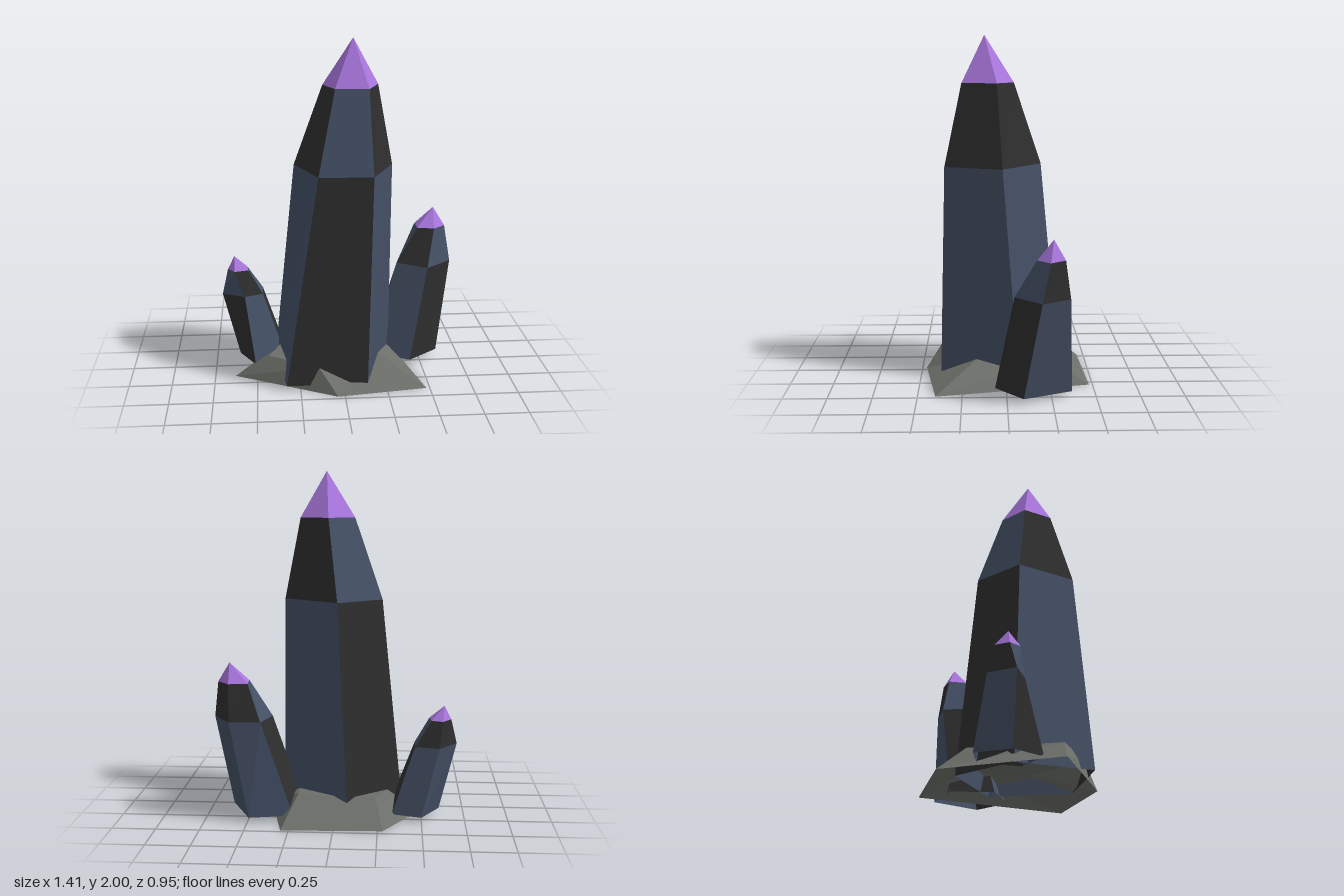
import * as THREE from 'three';

function material(name, color) {
  const m = new THREE.MeshStandardMaterial({ color, flatShading: true, side: THREE.DoubleSide });
  m.name = name;
  return m;
}

// Ring of [x, z] corners at height y, clockwise seen from above
const ring = (y, points) => points.map(([x, z]) => new THREE.Vector3(x, y, z));

// Mesh from a list of outward-facing triangles
function facetMesh(name, triangles, mat) {
  const geometry = new THREE.BufferGeometry().setFromPoints(triangles.flat());
  geometry.computeVertexNormals();
  const mesh = new THREE.Mesh(geometry, mat);
  mesh.name = name;
  return mesh;
}

// Two triangles for side i between a lower and an upper ring
function sideFace(lower, upper, i) {
  const j = (i + 1) % lower.length;
  return [[lower[j], lower[i], upper[i]], [lower[j], upper[i], upper[j]]];
}

// Fan from an apex over a ring
const fan = (r, apex) => r.map((p, i) => [r[(i + 1) % r.length], p, apex]);

// Five-sided crystal: shaft, shoulder with swapped colours, and pointed tip
function crystal(name, rings, apex, mats) {
  const facets = { dark: [], blue: [] };
  for (let level = 0; level < 2; level++) {
    for (let i = 0; i < 5; i++) {
      const key = (i + level) % 2 === 0 ? 'blue' : 'dark';
      facets[key].push(...sideFace(rings[level], rings[level + 1], i));
    }
  }
  const group = new THREE.Group();
  group.name = name;
  group.add(
    facetMesh('darkFacets', facets.dark, mats.dark),
    facetMesh('blueFacets', facets.blue, mats.blue),
    facetMesh('crystalTip', fan(rings[2], new THREE.Vector3(...apex)), mats.tip)
  );
  return group;
}

export function createModel() {
  const mats = {
    dark: material('dark stone', 0x2e2e2e),
    blue: material('slate blue', 0x445065),
    tip: material('violet', 0xa976de),
    rock: material('grey rock', 0x6c6f69)
  };
  const model = new THREE.Group();
  model.name = 'crystalCluster';

  // Tall central crystal
  model.add(crystal('mainCrystal', [
    ring(0.03, [[0.31, -0.075], [0.14, 0.38], [-0.33, 0.38], [-0.39, -0.07], [-0.075, -0.33]]),
    ring(1.255, [[0.31, 0.02], [0.17, 0.35], [-0.14, 0.34], [-0.265, -0.01], [-0.01, -0.21]]),
    ring(1.73, [[0.22, 0.05], [0.15, 0.25], [-0.04, 0.235], [-0.1, 0.06], [0.05, -0.05]])
  ], [0.07, 2, 0.12], mats));

  // Medium crystal leaning towards +x
  model.add(crystal('leftCrystal', [
    ring(0.03, [[0.49, -0.365], [0.615, -0.09], [0.43, 0.065], [0.2, -0.06], [0.24, -0.31]]),
    ring(0.585, [[0.6, -0.345], [0.705, -0.185], [0.545, -0.04], [0.37, -0.16], [0.42, -0.34]]),
    ring(0.8, [[0.605, -0.315], [0.675, -0.23], [0.6, -0.16], [0.5, -0.185], [0.497, -0.295]])
  ], [0.605, 0.915, -0.25], mats));

  // Small crystal leaning towards -x
  model.add(crystal('rightCrystal', [
    ring(0.03, [[-0.5, -0.305], [-0.33, -0.255], [-0.32, -0.01], [-0.51, 0.06], [-0.605, -0.12]]),
    ring(0.425, [[-0.6, -0.255], [-0.46, -0.225], [-0.46, -0.1], [-0.57, -0.05], [-0.705, -0.12]]),
    ring(0.575, [[-0.62, -0.22], [-0.555, -0.195], [-0.545, -0.11], [-0.63, -0.085], [-0.67, -0.15]])
  ], [-0.63, 0.655, -0.15], mats));

  // Faceted rock base, open underneath
  const foot = ring(0, [[0.295, -0.48], [0.48, 0.4], [-0.04, 0.475], [-0.63, 0.15], [-0.28, -0.46]]);
  const rim = ring(0.14, [[0.215, -0.245], [0.21, 0.16], [-0.145, 0.375], [-0.43, 0.19], [-0.235, -0.295]]);
  const sides = foot.flatMap((_, i) => sideFace(foot, rim, i));
  const top = fan(rim, new THREE.Vector3(-0.08, 0.14, 0.03));
  model.add(facetMesh('rockBase', [...sides, ...top], mats.rock));

  return model;
}
